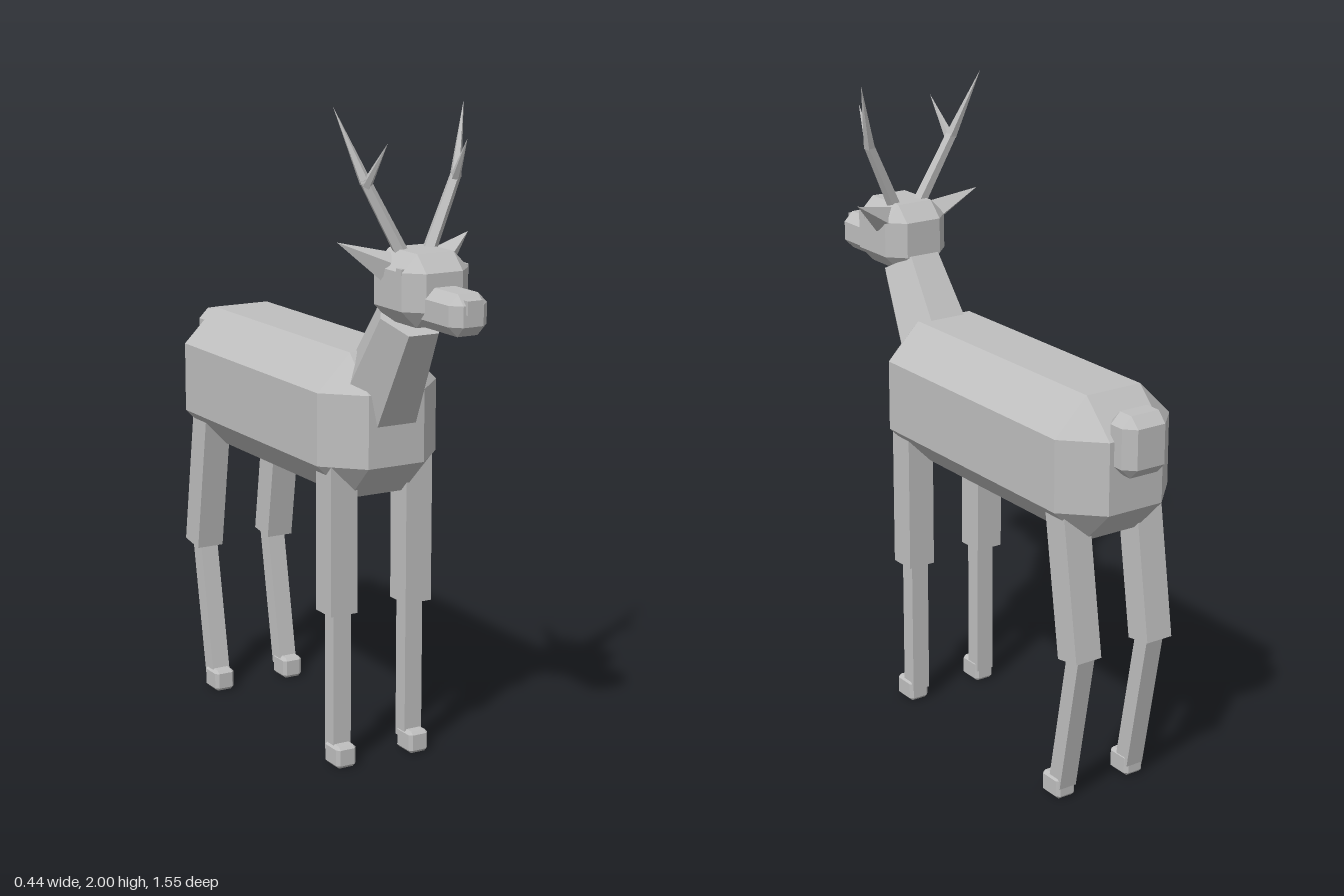
import * as THREE from 'three';
import { ConvexGeometry } from 'three/addons/geometries/ConvexGeometry.js';

export function createModel() {
  const model = new THREE.Group();
  model.name = 'deer';
  const grey = new THREE.MeshStandardMaterial({ color: 0xbfbfbf, flatShading: true });
  grey.name = 'plain grey';

  const V = (x, y, z) => new THREE.Vector3(x, y, z);

  function add(name, geometry) {
    const mesh = new THREE.Mesh(geometry, grey);
    mesh.name = name;
    model.add(mesh);
    return mesh;
  }

  // Box with every edge and corner cut off by c
  function chamferBox(w, h, d, c) {
    const points = [];
    for (const x of [-w / 2, w / 2]) for (const y of [-h / 2, h / 2]) for (const z of [-d / 2, d / 2]) {
      const ix = x - Math.sign(x) * c, iy = y - Math.sign(y) * c, iz = z - Math.sign(z) * c;
      points.push(V(x, iy, iz), V(ix, y, iz), V(ix, iy, z));
    }
    return new ConvexGeometry(points);
  }

  // Chamfered box given by its low and high corners
  function block(name, lo, hi, c) {
    const size = hi.map((v, i) => v - lo[i]);
    add(name, chamferBox(...size, c)).position.set(...hi.map((v, i) => (v + lo[i]) / 2));
  }

  // Lay a y-aligned geometry of the right length between two points
  function between(name, geometry, a, b) {
    const mesh = add(name, geometry);
    mesh.position.copy(a).add(b).multiplyScalar(0.5);
    mesh.quaternion.setFromUnitVectors(V(0, 1, 0), b.clone().sub(a).normalize());
  }
  const rod = (name, a, b, rBottom, rTop, sides, turn = 0) => between(name,
    new THREE.CylinderGeometry(rTop, rBottom, a.distanceTo(b), sides).rotateY(turn), a, b);
  const beam = (name, a, b, w, d) => between(name, new THREE.BoxGeometry(w, a.distanceTo(b), d), a, b);

  // Body, neck, head and tail
  block('body', [-0.205, 0.83, -0.71], [0.205, 1.27, 0.37], 0.11);
  rod('neck', V(0, 1.11, 0.265), V(0, 1.4, 0.44), 0.133, 0.1, 6, Math.PI / 6 + Math.PI / 3);
  block('head', [-0.11, 1.39, 0.37], [0.11, 1.6, 0.62], 0.05);
  block('muzzle', [-0.063, 1.39, 0.5], [0.063, 1.51, 0.768], 0.03);
  add('nose', new THREE.BoxGeometry(0.05, 0.04, 0.04)).position.set(0, 1.475, 0.757);
  block('tail', [-0.08, 1.055, -0.775], [0.08, 1.24, -0.66], 0.032);

  for (const [side, s] of [['left', 1], ['right', -1]]) {
    const P = (x, y, z) => V(s * x, y, z);

    // Face details
    add(side + 'Eye', new THREE.BoxGeometry(0.022, 0.03, 0.03)).position.set(s * 0.1, 1.545, 0.555);
    rod(side + 'Ear', P(0.09, 1.552, 0.455), P(0.22, 1.622, 0.4), 0.045, 0, 4);

    // Antler: lower beam, upper spike and forward tine
    const fork = P(0.154, 1.8, 0.436);
    rod(side + 'AntlerBeam', P(0.04, 1.575, 0.465), fork, 0.022, 0.017, 5);
    rod(side + 'AntlerSpike', P(0.15, 1.79, 0.438), P(0.217, 2, 0.373), 0.018, 0, 5);
    rod(side + 'AntlerTine', P(0.147, 1.78, 0.438), P(0.131, 1.908, 0.527), 0.016, 0, 5);

    // Straight front leg
    beam(side + 'FrontThigh', P(0.13, 0.48, 0.245), P(0.13, 1.0, 0.245), 0.09, 0.09);
    beam(side + 'FrontShin', P(0.126, 0.04, 0.245), P(0.126, 0.5, 0.245), 0.06, 0.053);

    // Hind leg bent at the hock
    beam(side + 'HindThigh', P(0.13, 0.48, -0.63), P(0.13, 1.0, -0.55), 0.09, 0.09);
    beam(side + 'HindShin', P(0.126, 0.04, -0.548), P(0.126, 0.49, -0.631), 0.06, 0.055);

    // Hooves
    for (const [name, z] of [['Front', 0.265], ['Hind', -0.532]]) {
      add(side + name + 'Hoof', chamferBox(0.068, 0.07, 0.085, 0.01)).position.set(s * 0.128, 0.035, z);
    }
  }
  return model;
}
